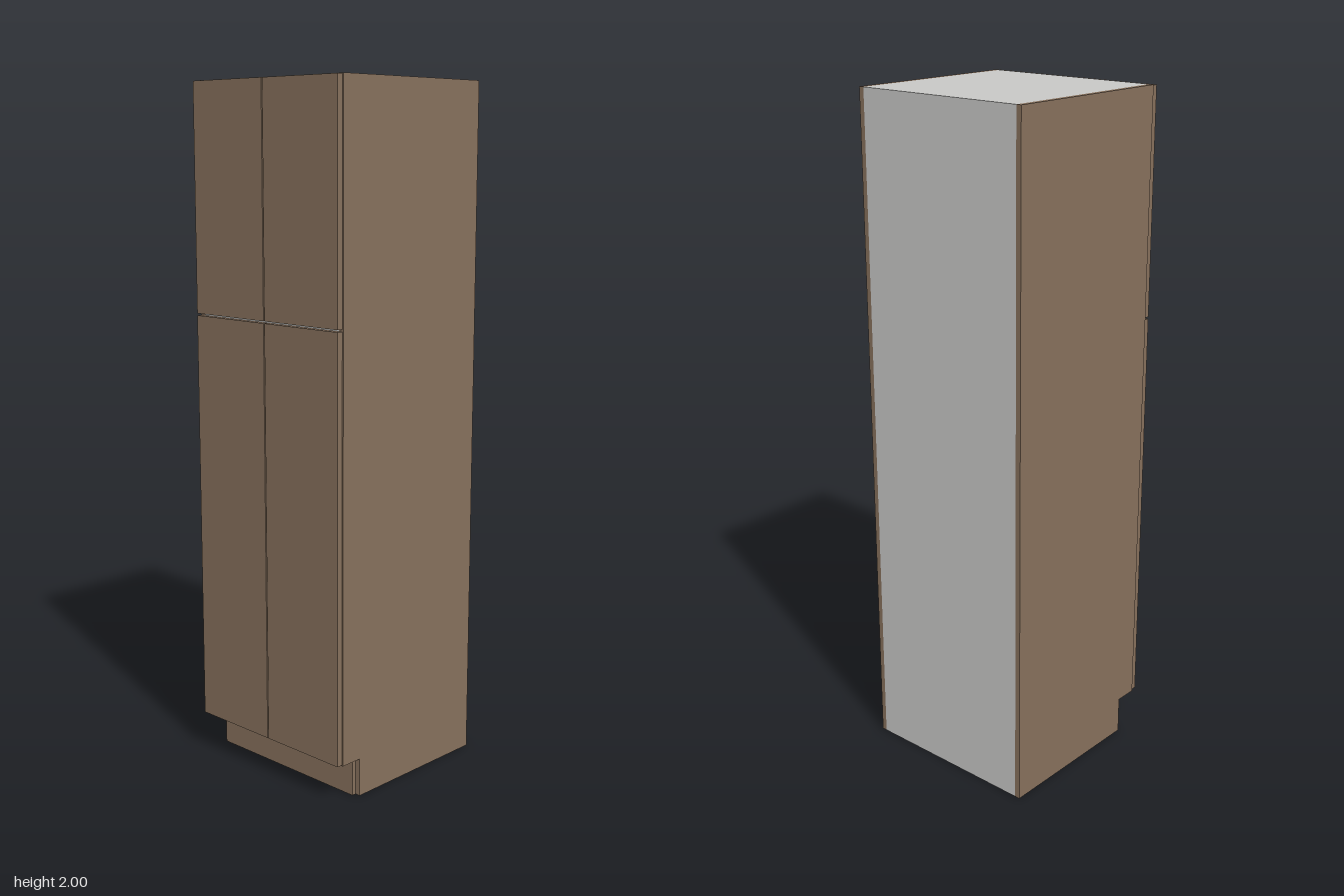
import * as THREE from 'three';

export function createModel() {
  const wood = new THREE.MeshStandardMaterial({ color: 0x86705c });
  wood.name = 'brownWood';
  const board = new THREE.MeshStandardMaterial({ color: 0xc8c8c6 });
  board.name = 'paleGreyBoard';

  const model = new THREE.Group();
  model.name = 'tallCabinet';

  // Box panel given by its lower and upper limits on each axis
  function panel(name, material, [x0, x1], [y0, y1], [z0, z1]) {
    const mesh = new THREE.Mesh(new THREE.BoxGeometry(x1 - x0, y1 - y0, z1 - z0), material);
    mesh.position.set((x0 + x1) / 2, (y0 + y1) / 2, (z0 + z1) / 2);
    mesh.name = name;
    model.add(mesh);
  }

  const W = 0.286, IN = 0.27, BACK = -0.286, FRONT = 0.266;
  const KICK = 0.112, SPLIT = 1.34, T = 0.016;

  // Side panels, cut away at the bottom front for the toe space
  const side = new THREE.Shape();
  [[-BACK, 0], [-BACK, 2], [-FRONT, 2], [-FRONT, KICK], [-0.197, KICK], [-0.197, 0]]
    .forEach(([x, y], i) => (i ? side.lineTo(x, y) : side.moveTo(x, y)));
  const sideGeometry = new THREE.ExtrudeGeometry(side, { depth: W - IN, bevelEnabled: false });
  sideGeometry.rotateY(Math.PI / 2);
  for (const [name, x] of [['leftSide', IN], ['rightSide', -W]]) {
    const mesh = new THREE.Mesh(sideGeometry, wood);
    mesh.position.x = x;
    mesh.name = name;
    model.add(mesh);
  }

  // Carcass boards between the sides
  panel('back', board, [-IN, IN], [0, 2], [BACK, BACK + 0.006]);
  for (const [name, y] of [['bottom', KICK], ['middleShelf', SPLIT - T / 2], ['top', 2 - T]]) {
    panel(name, board, [-IN, IN], [y, y + T], [BACK + 0.006, FRONT]);
  }

  // Recessed toe kick
  panel('toeKick', wood, [-IN, IN], [0, KICK - 0.001], [0.197, 0.21]);

  // Two pairs of doors with narrow gaps
  for (const [row, y] of [['lower', [0.115, SPLIT - 0.003]], ['upper', [SPLIT + 0.003, 1.998]]]) {
    panel(row + 'LeftDoor', wood, [0.002, 0.283], y, [0.267, 0.285]);
    panel(row + 'RightDoor', wood, [-0.283, -0.002], y, [0.267, 0.285]);
  }
  return model;
}
